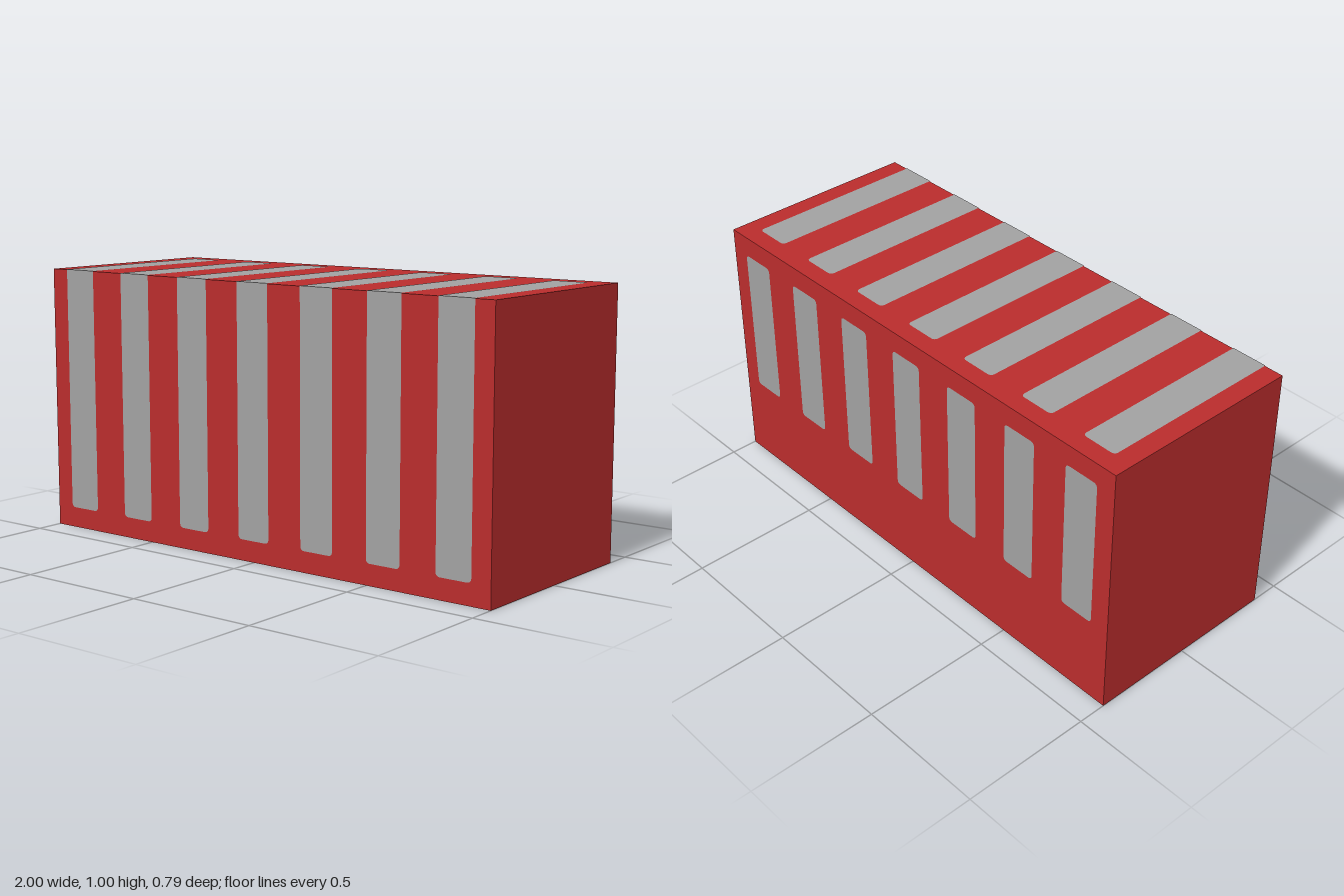
import * as THREE from 'three';

const W = 2, H = 1, D = 0.786;
const COUNT = 7, PITCH = 0.285, STRIPE = 0.14, R = 0.018, LIFT = 0.0015;

// Upright strip from y0 to y1, rounded at the bottom and optionally at the top
function stripShape(y0, y1, roundTop) {
  const h = STRIPE / 2, s = new THREE.Shape();
  s.moveTo(-h + R, y0);
  s.lineTo(h - R, y0);
  s.quadraticCurveTo(h, y0, h, y0 + R);
  if (roundTop) {
    s.lineTo(h, y1 - R);
    s.quadraticCurveTo(h, y1, h - R, y1);
    s.lineTo(-h + R, y1);
    s.quadraticCurveTo(-h, y1, -h, y1 - R);
  } else {
    s.lineTo(h, y1);
    s.lineTo(-h, y1);
  }
  s.lineTo(-h, y0 + R);
  s.quadraticCurveTo(-h, y0, -h + R, y0);
  return s;
}

export function createModel() {
  const red = new THREE.MeshStandardMaterial({ color: 0xb92c2c });
  red.name = 'red';
  const grey = new THREE.MeshStandardMaterial({ color: 0xa1a1a1 });
  grey.name = 'grey';

  const model = new THREE.Group();
  model.name = 'stripedBlock';

  // Solid block
  const body = new THREE.Mesh(new THREE.BoxGeometry(W, H, D), red);
  body.name = 'body';
  body.position.y = H / 2;
  model.add(body);

  // Front strips run up to the top edge, where the top strips meet them
  const front = new THREE.ShapeGeometry(stripShape(0.078, H + LIFT, false));
  front.translate(0, 0, D / 2 + LIFT);

  // Top strips: rounded end towards the back
  const top = new THREE.ShapeGeometry(stripShape(-0.322, D / 2 + LIFT, false));
  top.rotateZ(Math.PI).rotateX(-Math.PI / 2).translate(0, H + LIFT, 0);

  // Back strips: short and rounded at both ends
  const back = new THREE.ShapeGeometry(stripShape(0.335, 0.922, true));
  back.rotateY(Math.PI).translate(0, 0, -D / 2 - LIFT);

  for (const [name, geometry] of Object.entries({ front, top, back })) {
    const row = new THREE.Group();
    row.name = `${name}Strips`;
    for (let i = 0; i < COUNT; i++) {
      const strip = new THREE.Mesh(geometry, grey);
      strip.name = `${name}Strip`;
      strip.position.x = (i - (COUNT - 1) / 2) * PITCH;
      row.add(strip);
    }
    model.add(row);
  }
  return model;
}
